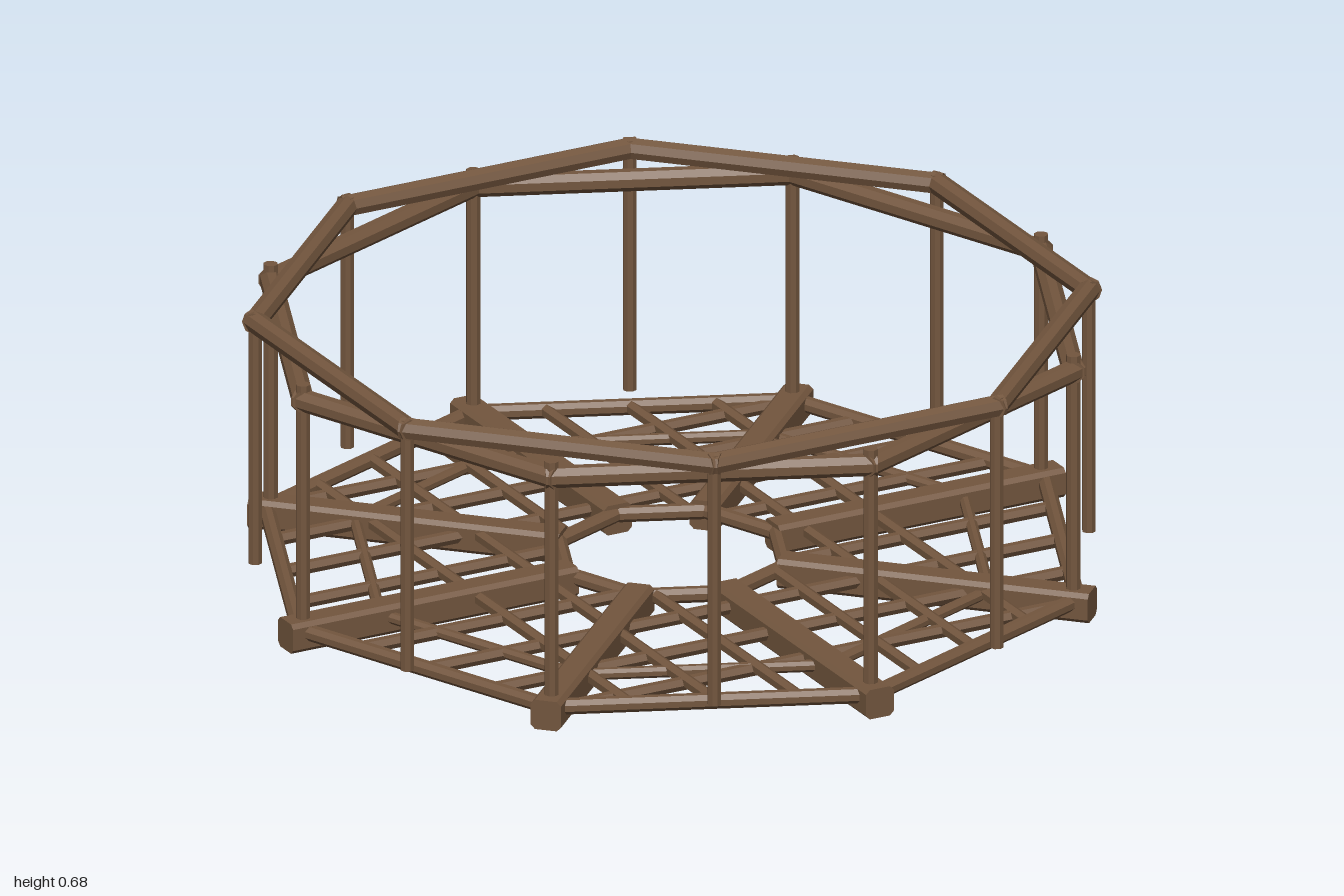
import * as THREE from 'three';

const wood = new THREE.MeshStandardMaterial({ color: 0x73563e });
wood.name = 'brownWood';

const UP = new THREE.Vector3(0, 1, 0);

// Point at a given angle step (of 45 degrees), radius and height
function polar(step, r, y) {
  const a = step * Math.PI / 4;
  return new THREE.Vector3(Math.sin(a) * r, y, Math.cos(a) * r);
}

// Round log between two points, lengthened a little at both ends
function log(name, a, b, radius, extra = 0, sides = 8) {
  const dir = b.clone().sub(a);
  const geo = new THREE.CylinderGeometry(radius, radius, dir.length() + extra * 2, sides);
  const mesh = new THREE.Mesh(geo, wood);
  mesh.name = name;
  mesh.position.copy(a).add(b).multiplyScalar(0.5);
  mesh.quaternion.setFromUnitVectors(UP, dir.normalize());
  return mesh;
}

// Eight logs forming an octagon
function octagon(name, offset, r, y, radius, extra) {
  const g = new THREE.Group();
  g.name = name;
  for (let i = 0; i < 8; i++) {
    g.add(log(name + 'Log', polar(i + offset, r, y), polar(i + 1 + offset, r, y), radius, extra));
  }
  return g;
}

// Squared beam with chamfered edges, running along +z
function spokeGeometry(half, chamfer, from, to) {
  const k = half - chamfer;
  const s = new THREE.Shape([
    [k, -half], [half, -k], [half, k], [k, half],
    [-k, half], [-half, k], [-half, -k], [-k, -half],
  ].map(([x, y]) => new THREE.Vector2(x, y)));
  const geo = new THREE.ExtrudeGeometry(s, { depth: to - from, bevelEnabled: false });
  return geo.translate(0, 0, from);
}

export function createModel() {
  const model = new THREE.Group();
  model.name = 'roundPlatform';

  // Radial floor beams
  const spokeGeo = spokeGeometry(0.036, 0.01, 0.26, 1.0);
  for (let i = 0; i < 8; i++) {
    const spoke = new THREE.Mesh(spokeGeo, wood);
    spoke.name = 'floorSpoke';
    spoke.position.y = 0.04;
    spoke.rotation.y = i * Math.PI / 4;
    model.add(spoke);
  }

  // Floor rings
  model.add(octagon('innerRing', 0, 0.27, 0.048, 0.019, 0.006));
  model.add(octagon('middleRing', 0, 0.755, 0.045, 0.014, 0));
  model.add(octagon('outerRing', 0, 0.965, 0.048, 0.019, 0));

  // Floor lattice, trimmed to the octagon and the central opening
  const slope = Math.tan(Math.PI / 8);
  const lattice = new THREE.Group();
  lattice.name = 'floorLattice';
  const bar = (p, q, d, alongX) => {
    const y = alongX ? 0.043 : 0.049;
    const at = (t) => alongX ? new THREE.Vector3(t, y, d) : new THREE.Vector3(d, y, t);
    lattice.add(log('latticeBar', at(p), at(q), 0.016, 0, 6));
  };
  for (const alongX of [true, false]) {
    for (const d of alongX ? [0.155, 0.335, 0.515, 0.69] : [0.155, 0.335, 0.515]) {
      const end = d < 0.68 ? 0.96 - slope * d : 0.66;
      for (const s of [-1, 1]) {
        if (d < 0.2) {
          const start = 0.265 - slope * d;
          bar(start, end, s * d, alongX);
          bar(-end, -start, s * d, alongX);
        } else {
          bar(-end, end, s * d, alongX);
        }
      }
    }
  }
  model.add(lattice);

  // Railing: lower and upper octagons turned against each other
  model.add(octagon('lowerRail', 0, 0.955, 0.61, 0.026, 0.015));
  model.add(octagon('upperRail', 0.5, 0.955, 0.658, 0.026, 0.015));

  // Posts on the spokes and between them
  for (let i = 0; i < 8; i++) {
    model.add(log('spokePost', polar(i, 0.955, 0.04), polar(i, 0.955, 0.65), 0.017));
    model.add(log('middlePost', polar(i + 0.5, 0.955, 0.065), polar(i + 0.5, 0.955, 0.68), 0.016));
  }

  // Flat shading for the hewn logs
  model.traverse((o) => {
    if (o.isMesh && o.geometry.index) {
      o.geometry = o.geometry.toNonIndexed();
      o.geometry.computeVertexNormals();
    }
  });
  return model;
}
